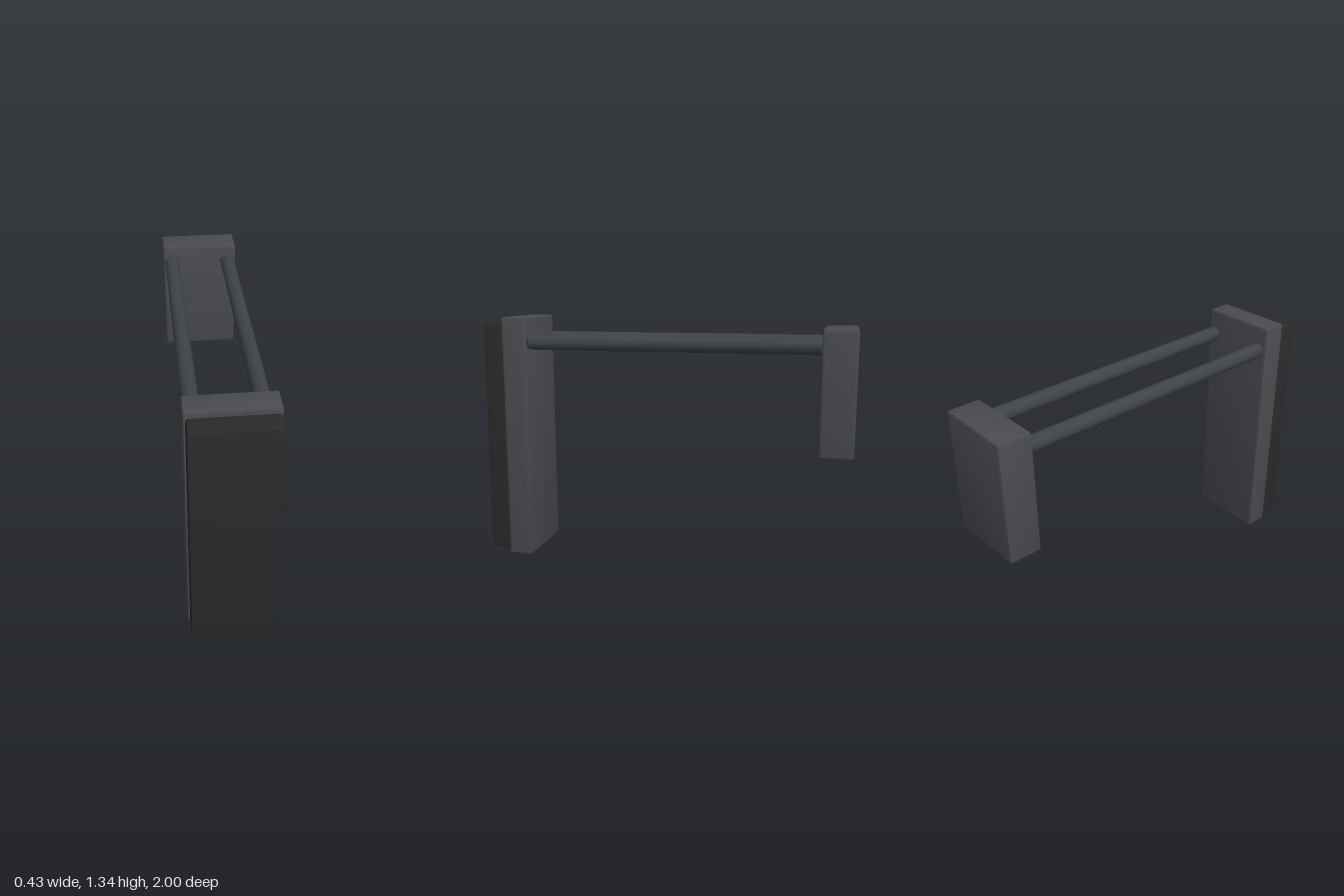
import * as THREE from 'three';
import { RoundedBoxGeometry } from 'three/addons/geometries/RoundedBoxGeometry.js';
import { toCreasedNormals } from 'three/addons/utils/BufferGeometryUtils.js';

const BEVEL = 0.012;

export function createModel() {
  const model = new THREE.Group();
  const padMaterial = new THREE.MeshStandardMaterial({ color: 0x2a2a2a });
  const plateMaterial = new THREE.MeshStandardMaterial({ color: 0x4a4b50 });
  const rodMaterial = new THREE.MeshStandardMaterial({ color: 0x3e4347 });

  const add = (name, geometry, material, x, y, z) => {
    const mesh = new THREE.Mesh(geometry, material);
    mesh.name = name;
    mesh.position.set(x, y, z);
    model.add(mesh);
  };

  // Block with chamfered edges, spanning y0..y1 and z0..z1
  const addBlock = (name, material, width, y0, y1, z0, z1) => {
    const box = new RoundedBoxGeometry(width, y1 - y0, z1 - z0, 1, BEVEL);
    add(name, toCreasedNormals(box, 0.4), material, 0, (y0 + y1) / 2, (z0 + z1) / 2);
  };

  addBlock('frontPad', padMaterial, 0.41, 0.03, 1.31, 0.89, 1);
  addBlock('frontPlate', plateMaterial, 0.43, 0, 1.335, 0.757, 0.89);
  addBlock('rearBlock', plateMaterial, 0.43, 0.635, 1.29, -1, -0.822);

  // Pair of rods with chamfered ends joining plate and block
  const radius = 0.041, front = 0.757, rear = -0.83;
  const half = (front - rear) / 2;
  const profile = [
    [0, -half], [radius - BEVEL, -half], [radius, -half + BEVEL],
    [radius, half - BEVEL], [radius - BEVEL, half], [0, half],
  ].map(([r, y]) => new THREE.Vector2(r, y));
  const rod = toCreasedNormals(new THREE.LatheGeometry(profile, 16).rotateX(Math.PI / 2), 0.6);
  for (const side of [1, -1]) {
    add(side > 0 ? 'leftRod' : 'rightRod', rod, rodMaterial, side * 0.165, 1.2, (front + rear) / 2);
  }

  return model;
}
